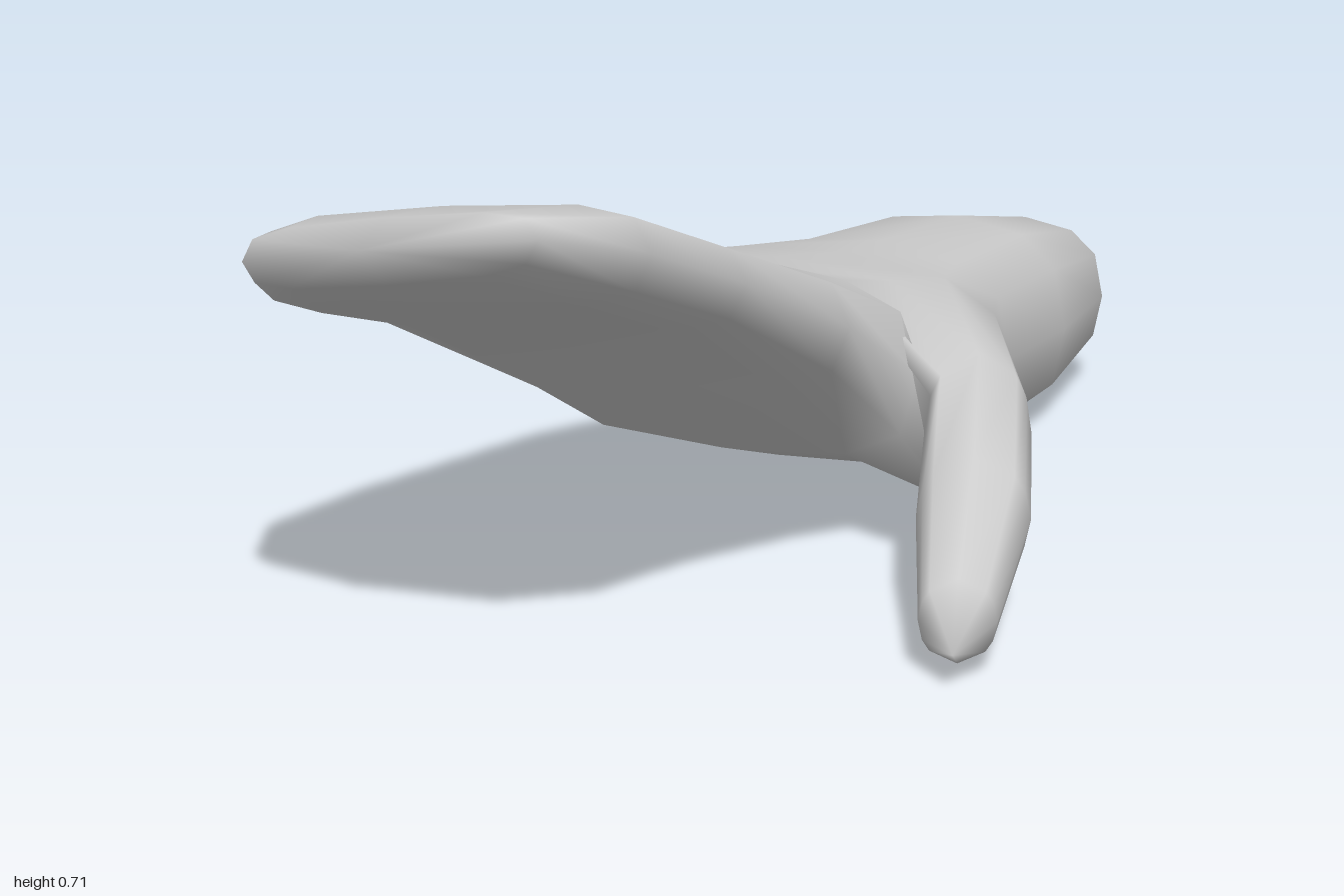
import * as THREE from 'three';

const SIDES = 12;

// Hand sections, wrist to fingertips: z, x min, x max, centre y, half height, sideways slope, squareness
const HAND = [
  [-0.92, -0.31, 0.01, 0.167, 0.128, 0, 0.75],
  [-0.65, -0.36, 0.07, 0.18, 0.175, 0, 0.75],
  [-0.37, -0.375, 0.11, 0.202, 0.172, 0, 0.75],
  [-0.2, -0.43, 0.2, 0.228, 0.165, 0, 0.7],
  [-0.05, -0.48, 0.2, 0.25, 0.165, 0.02, 0.7],
  [0.08, -0.52, 0.19, 0.282, 0.152, 0.06, 0.65],
  [0.3, -0.52, 0.2, 0.39, 0.1, 0.12, 0.6],
  [0.57, -0.495, 0.2, 0.515, 0.075, 0.13, 0.6],
  [0.8, -0.46, 0.205, 0.6, 0.075, 0.16, 0.6],
  [0.94, -0.36, 0.13, 0.645, 0.045, 0.19, 0.6],
];
const WRIST_END = [-0.155, 0.165, -1];
const FINGER_END = [-0.11, 0.66, 1];

// Thumb sections, base to tip: centre x, y, z, half width, half height
const THUMB = [
  [0.295, 0.232, 0.085, 0.08, 0.125],
  [0.375, 0.16, 0.245, 0.083, 0.092],
  [0.458, 0.085, 0.442, 0.055, 0.062],
];
const THUMB_END = [0.485, 0.062, 0.505];
const THUMB_ROW = 3; // the thumb grows out of two rows of the hand's side
const THUMB_REACH = 2; // columns above and below the middle of that side

const bend = (v, p) => Math.sign(v) * Math.abs(v) ** p;

function createMittenGeometry() {
  const points = [];
  const faces = [];
  const add = (p) => points.push(...p) / 3 - 1;
  const quad = (a, b, c, d) => faces.push(a, b, c, a, c, d);
  const cap = (loop, tip, flip) => loop.forEach((a, j) => {
    const b = loop[(j + 1) % loop.length];
    faces.push(...(flip ? [b, a, tip] : [a, b, tip]));
  });

  // Palm, wrist and fingers as rounded rings
  const rings = HAND.map(([z, x0, x1, cy, h, slope, power]) =>
    Array.from({ length: SIDES }, (_, j) => {
      const t = (j / SIDES) * Math.PI * 2;
      const dx = bend(Math.cos(t), power) * (x1 - x0) / 2;
      return add([(x0 + x1) / 2 + dx, cy + bend(Math.sin(t), power) * h + slope * dx, z]);
    }));
  const at = (i, j) => rings[i][(j + SIDES) % SIDES];
  for (let i = 0; i < rings.length - 1; i++) {
    for (let j = -SIDES / 2; j < SIDES / 2; j++) {
      const opening = (i === THUMB_ROW || i === THUMB_ROW + 1) && j >= -THUMB_REACH && j < THUMB_REACH;
      if (!opening) quad(at(i, j), at(i, j + 1), at(i + 1, j + 1), at(i + 1, j));
    }
  }
  cap(rings[0], add(WRIST_END), true);
  cap(rings[rings.length - 1], add(FINGER_END), false);

  // Thumb, joined to the rim of the opening
  const rim = [[0, 2], [1, 2], [2, 2], [2, 1], [2, 0], [2, -1],
    [2, -2], [1, -2], [0, -2], [0, -1], [0, 0], [0, 1]];
  let last = rim.map(([row, col]) => at(THUMB_ROW + row, col));
  for (const [x, y, z, w, h] of THUMB) {
    const loop = rim.map(([row, col]) => {
      const t = Math.atan2(col / THUMB_REACH, row - 1);
      const across = Math.cos(t) * w;
      return add([x - across * 0.88, y + Math.sin(t) * h, z + across * 0.47]);
    });
    loop.forEach((_, j) => {
      const k = (j + 1) % loop.length;
      quad(last[j], last[k], loop[k], loop[j]);
    });
    last = loop;
  }
  cap(last, add(THUMB_END), false);

  const geometry = new THREE.BufferGeometry();
  geometry.setAttribute('position', new THREE.Float32BufferAttribute(points, 3));
  geometry.setIndex(faces);
  geometry.computeVertexNormals();
  return geometry;
}

export function createModel() {
  const group = new THREE.Group();
  group.name = 'mittenHand';
  const hand = new THREE.Mesh(createMittenGeometry(), new THREE.MeshStandardMaterial({ color: 0xcccccc }));
  hand.name = 'handWithThumb';
  group.add(hand);
  return group;
}
